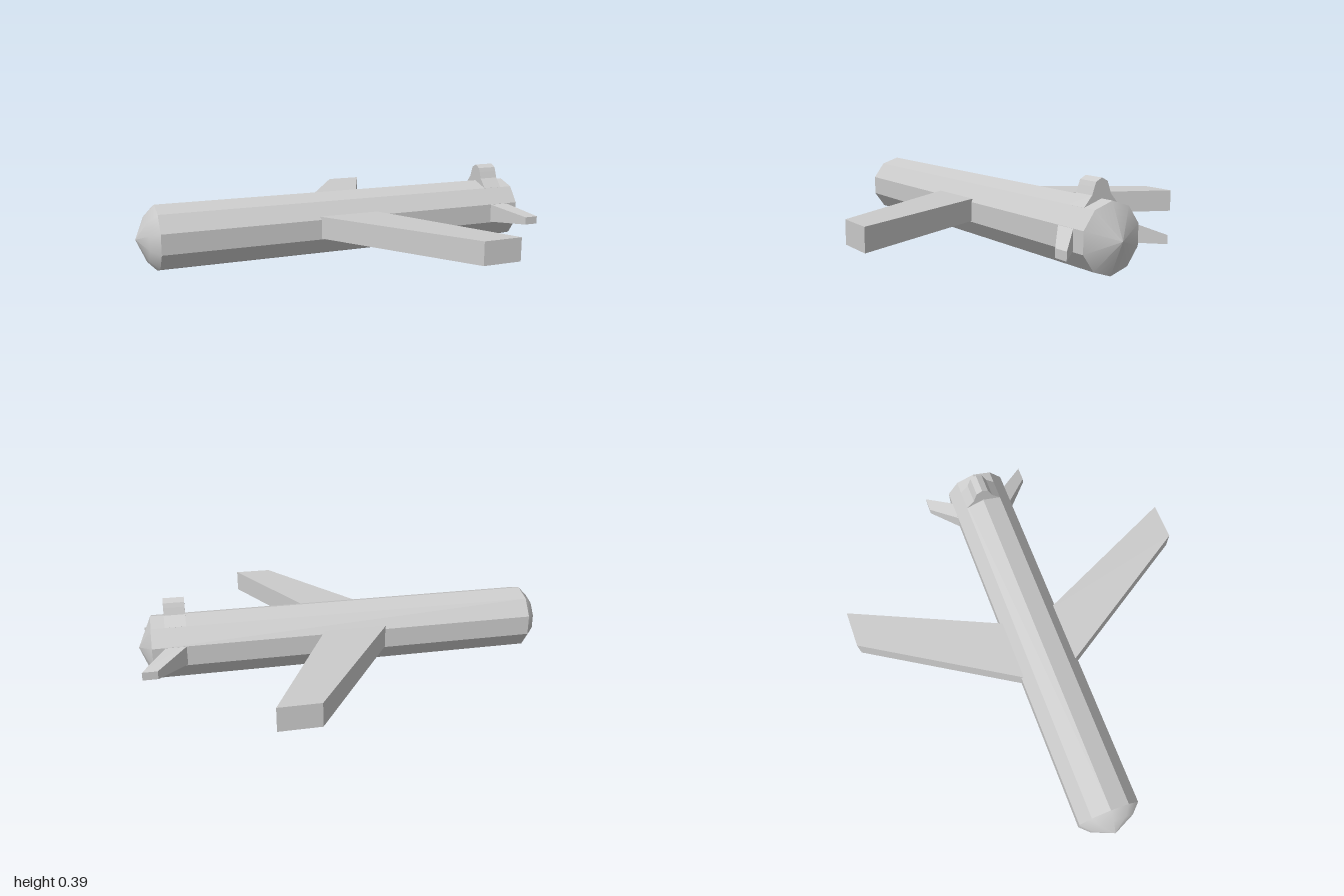
import * as THREE from 'three';

const AXIS_Y = 0.153;
const RADIUS = 0.153;
const SIDES = 10;

const flat = new THREE.MeshStandardMaterial({ color: 0xcccccc, flatShading: true });
const smooth = new THREE.MeshStandardMaterial({ color: 0xcccccc });

function addMesh(group, name, geometry, material) {
  const mesh = new THREE.Mesh(geometry, material);
  mesh.name = name;
  group.add(mesh);
}

// Ten-sided solid of revolution lying along x; profile is [radius, x] with x ascending.
function turned(profile) {
  const points = profile.map(([r, x]) => new THREE.Vector2(r, x));
  return new THREE.LatheGeometry(points, SIDES, Math.PI / 2)
    .rotateZ(-Math.PI / 2)
    .translate(0, AXIS_Y, 0);
}

// Swept panel: root and tip are { x0, x1, y0, y1, z }; side is +1 or -1 in z.
function panel(root, tip, side) {
  const ring = ({ x0, x1, y0, y1, z }) =>
    [[x0, y0], [x1, y0], [x1, y1], [x0, y1]].map(([x, y]) => [x, y, z * side]);
  const a = ring(root);
  const b = ring(tip);
  const quads = [[a[3], a[2], a[1], a[0]], [b[0], b[1], b[2], b[3]]];
  for (let i = 0; i < 4; i++) {
    const j = (i + 1) % 4;
    quads.push([a[i], a[j], b[j], b[i]]);
  }
  const positions = [];
  for (const quad of quads) {
    const [p, q, r, s] = side > 0 ? quad : [...quad].reverse();
    positions.push(...p, ...q, ...r, ...p, ...r, ...s);
  }
  const geometry = new THREE.BufferGeometry();
  geometry.setAttribute('position', new THREE.Float32BufferAttribute(positions, 3));
  geometry.computeVertexNormals();
  return geometry;
}

export function createModel() {
  const model = new THREE.Group();
  model.name = 'wingedBody';

  // Fuselage with rounded nose and shallow tail cone
  addMesh(model, 'fuselage', turned([[RADIUS, -0.91], [RADIUS, 0.935]]), flat);
  addMesh(model, 'noseCap', turned([[0, -1], [0.108, -0.953], [RADIUS, -0.91]]), smooth);
  addMesh(model, 'tailCone', turned([[RADIUS, 0.935], [0, 1]]), smooth);

  // Swept wings and small tail fins, mirrored in z
  for (const side of [1, -1]) {
    const prefix = side > 0 ? 'front' : 'back';
    addMesh(model, prefix + 'Wing', panel(
      { x0: -0.19, x1: 0.116, y0: 0.11, y1: 0.215, z: 0.1 },
      { x0: 0.28, x1: 0.463, y0: 0.11, y1: 0.215, z: 0.842 }, side), flat);
    addMesh(model, prefix + 'TailFin', panel(
      { x0: 0.73, x1: 0.833, y0: 0.11, y1: 0.22, z: 0.1 },
      { x0: 0.913, x1: 0.982, y0: 0.107, y1: 0.145, z: 0.266 }, side), flat);
  }

  // Upright tail fin with a flared foot
  const half = [[0.09, 0.25], [0.09, 0.277], [0.05, 0.322], [0.038, 0.355], [0.03, 0.375]];
  const outline = [...half, [0, 0.39], ...half.map(([z, y]) => [-z, y]).reverse()];
  const shape = new THREE.Shape(outline.map(([z, y]) => new THREE.Vector2(z, y)));
  const fin = new THREE.ExtrudeGeometry(shape, { depth: 0.097, bevelEnabled: false })
    .rotateY(Math.PI / 2)
    .translate(0.775, 0, 0);
  addMesh(model, 'uprightFin', fin, flat);

  return model;
}
